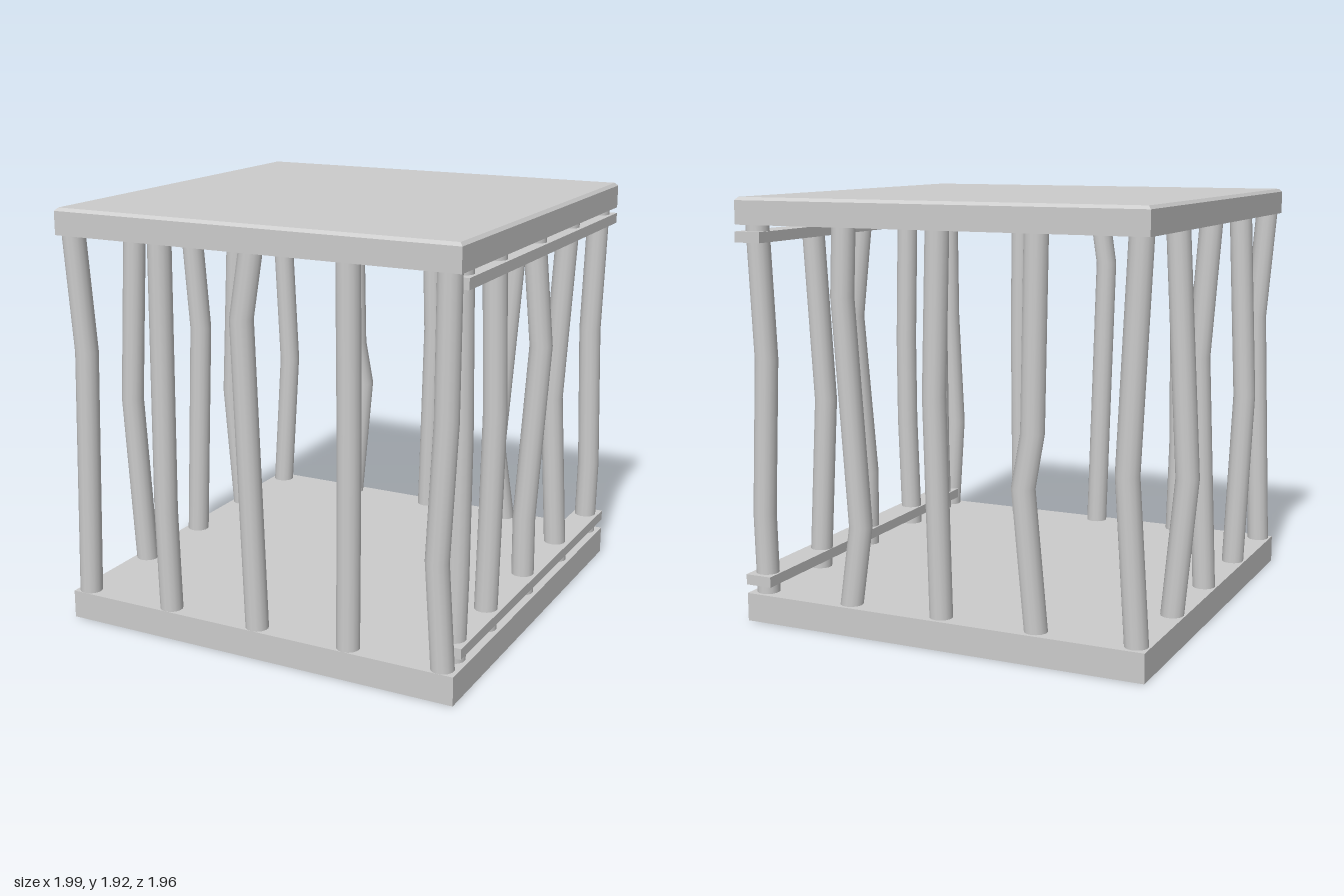
import * as THREE from 'three';

const material = new THREE.MeshStandardMaterial({ color: 0xcccccc });
const WIDTH = 1.92, CX = 0.02, CZ = -0.008;
const BOTTOM = 0.12, TOP = 1.81, RADIUS = 0.052;

function addMesh(group, name, geometry, x = 0, y = 0, z = 0) {
  const mesh = new THREE.Mesh(geometry, material);
  mesh.name = name;
  mesh.position.set(x, y, z);
  group.add(mesh);
}

// Crooked bar: a cylinder whose rings are shifted sideways at each bend [y, x, z]
function barGeometry(x, z, bends) {
  const rings = [[TOP, x, z], ...bends, [BOTTOM, x, z]];
  const geometry = new THREE.CylinderGeometry(RADIUS, RADIUS, 1, 14, rings.length - 1, true);
  const p = geometry.attributes.position;
  for (let i = 0; i < p.count; i++) {
    const [ry, rx, rz] = rings[Math.round((0.5 - p.getY(i)) * (rings.length - 1))];
    p.setXYZ(i, p.getX(i) + rx, ry, p.getZ(i) + rz);
  }
  return geometry;
}

// Slab with a small chamfer around its upper edge
function roofGeometry(height, chamfer) {
  const geometry = new THREE.BoxGeometry(WIDTH, height, WIDTH, 1, 2, 1).toNonIndexed();
  const p = geometry.attributes.position;
  for (let i = 0; i < p.count; i++) {
    const y = p.getY(i);
    if (Math.abs(y) < 1e-6) p.setY(i, height / 2 - chamfer);
    else if (y > 0) {
      p.setX(i, p.getX(i) - Math.sign(p.getX(i)) * chamfer);
      p.setZ(i, p.getZ(i) - Math.sign(p.getZ(i)) * chamfer);
    }
  }
  geometry.computeVertexNormals();
  return geometry;
}

// Each bar: foot x, foot z, then its bends from top to bottom
const bars = {
  frontBar: [
    [-0.88, 0.9, [[1.28, -0.835, 0.905]]],
    [-0.43, 0.9, [[0.6, -0.443, 0.9]]],
    [0.02, 0.9, [[1.52, -0.012, 0.93]]],
    [0.47, 0.9, [[1.1, 0.49, 0.93]]],
    [0.91, 0.9, [[1.2, 0.915, 0.918], [0.6, 0.877, 0.9]]],
  ],
  backBar: [
    [-0.88, -0.9, [[0.84, -0.832, -0.9]]],
    [-0.43, -0.9, [[0.98, -0.42, -0.915], [0.75, -0.385, -0.93]]],
    [0.02, -0.9, [[1.1, 0.043, -0.9]]],
    [0.47, -0.9, [[1.5, 0.484, -0.9], [0.5, 0.397, -0.93]]],
    [0.91, -0.9, [[1.2, 0.9, -0.877], [0.5, 0.915, -0.905]]],
  ],
  negativeSideBar: [
    [-0.88, 0.445, [[0.95, -0.91, 0.475]]],
    [-0.88, -0.01, [[1.2, -0.835, -0.015]]],
    [-0.88, -0.46, [[0.75, -0.948, -0.485]]],
  ],
  positiveSideBar: [
    [0.91, 0.445, [[1.12, 0.933, 0.452], [0.7, 0.91, 0.412]]],
    [0.91, -0.01, [[1.3, 0.942, -0.058], [0.5, 0.91, -0.002]]],
    [0.91, -0.46, [[0.95, 0.863, -0.455]]],
  ],
  doorBar: [
    [0.91, 0.79, [[1.1, 0.92, 0.785], [0.5, 0.915, 0.782]]],
  ],
};

export function createModel() {
  const cage = new THREE.Group();
  cage.name = 'cage';

  // Floor and roof slabs
  addMesh(cage, 'floor', new THREE.BoxGeometry(WIDTH, 0.13, WIDTH), CX, 0.065, CZ);
  addMesh(cage, 'roof', roofGeometry(0.12, 0.014), CX, 1.86, CZ);

  // Bent bars on all four walls
  for (const [name, list] of Object.entries(bars)) {
    for (const [x, z, bends] of list) addMesh(cage, name, barGeometry(x, z, bends));
  }

  // Door rails along the +x wall
  for (const y of [0.197, 1.747]) {
    addMesh(cage, 'doorRail', new THREE.BoxGeometry(0.128, 0.048, 1.845), 0.914, y, -0.053);
  }
  return cage;
}
